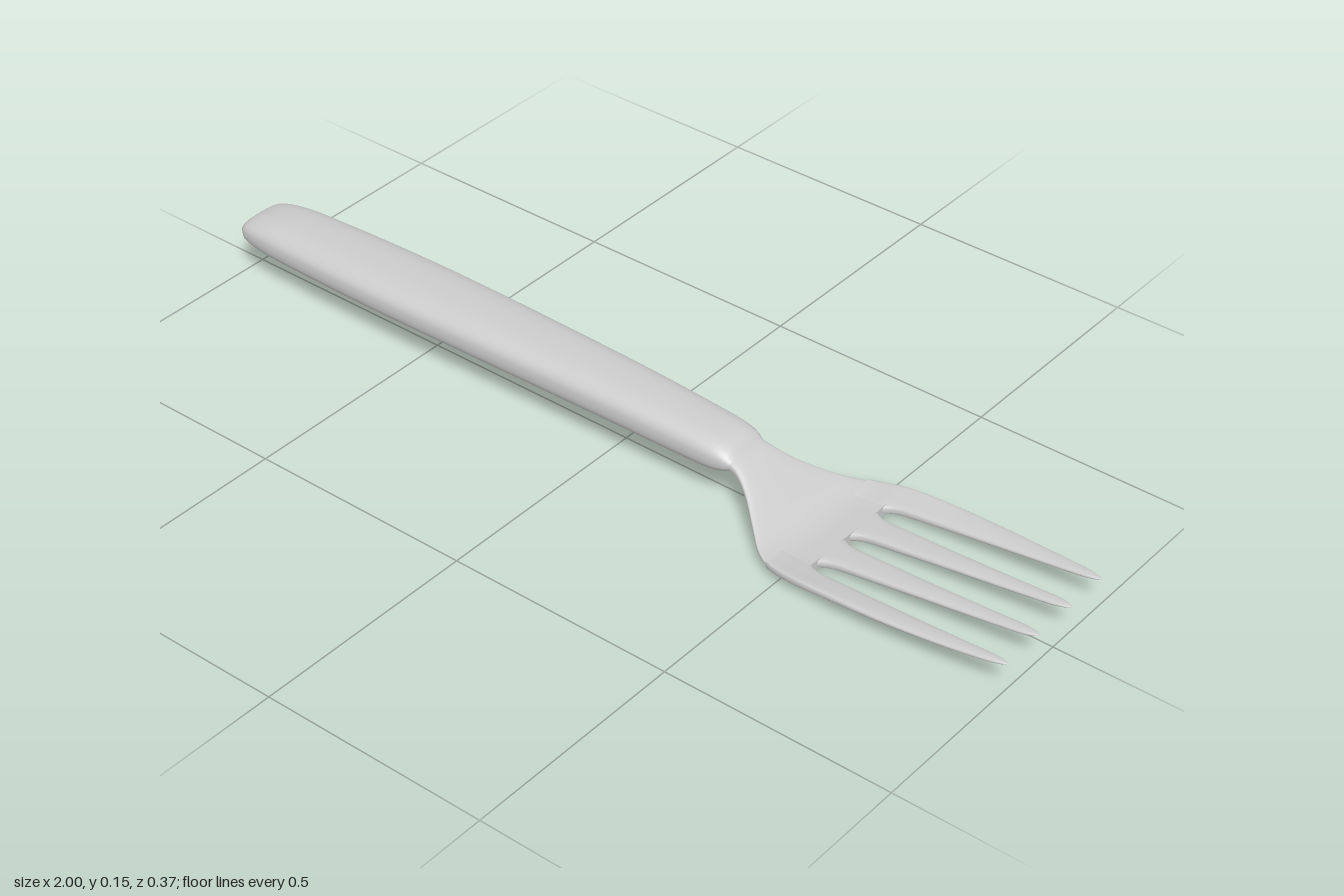
import * as THREE from 'three';

// Smooth interpolation of a table of rows [x, a, b, ...]
function sample(table, x) {
  const last = table.length - 1;
  let i = 0;
  while (i < last - 1 && x > table[i + 1][0]) i++;
  const p = table[i], q = table[i + 1];
  const before = table[Math.max(i - 1, 0)], after = table[Math.min(i + 2, last)];
  const h = q[0] - p[0], t = Math.min(Math.max((x - p[0]) / h, 0), 1);
  return p.slice(1).map((_, n) => {
    const k = n + 1;
    const m0 = (q[k] - before[k]) / (q[0] - before[0]) * h;
    const m1 = (after[k] - p[k]) / (after[0] - p[0]) * h;
    const t2 = t * t, t3 = t2 * t;
    return (2 * t3 - 3 * t2 + 1) * p[k] + (t3 - 2 * t2 + t) * m0
      + (3 * t2 - 2 * t3) * q[k] + (t3 - t2) * m1;
  });
}

// Superellipse sections lofted along x; section(x) gives y, z, half sizes and squareness
function loft(name, x0, x1, steps, sides, section, bend, material) {
  const pos = [], idx = [];
  for (let i = 0; i <= steps; i++) {
    const x = x0 + (x1 - x0) * (1 - Math.cos(Math.PI * i / steps)) / 2;
    const s = section(x);
    for (let j = 0; j < sides; j++) {
      const a = j / sides * Math.PI * 2, c = Math.cos(a), n = Math.sin(a);
      const z = s.z + s.hz * Math.sign(c) * Math.abs(c) ** (2 / s.power);
      const y = s.y + s.hy * Math.sign(n) * Math.abs(n) ** (2 / s.power);
      pos.push(x, y + bend(x, z), z);
    }
  }
  for (let i = 0; i < steps; i++) {
    for (let j = 0; j < sides; j++) {
      const a = i * sides + j, b = i * sides + (j + 1) % sides;
      idx.push(a, a + sides, b, b, a + sides, b + sides);
    }
  }
  // End caps have their own vertices so their rims stay crisp
  for (const [row, x, flip] of [[0, x0, false], [steps, x1, true]]) {
    const s = section(x), base = pos.length / 3;
    for (let j = 0; j < sides; j++) {
      const k = (row * sides + j) * 3;
      pos.push(pos[k], pos[k + 1], pos[k + 2]);
    }
    pos.push(x, s.y + bend(x, s.z), s.z);
    for (let j = 0; j < sides; j++) {
      const a = base + j, b = base + (j + 1) % sides;
      idx.push(base + sides, flip ? b : a, flip ? a : b);
    }
  }
  const geometry = new THREE.BufferGeometry();
  geometry.setAttribute('position', new THREE.Float32BufferAttribute(pos, 3));
  geometry.setIndex(idx);
  geometry.computeVertexNormals();
  const mesh = new THREE.Mesh(geometry, material);
  mesh.name = name;
  return mesh;
}

// Handle: x, bottom, top, half width
const HANDLE = [
  [-1, 0.088, 0.118, 0.052], [-0.985, 0.076, 0.13, 0.063], [-0.95, 0.069, 0.14, 0.071],
  [-0.88, 0.066, 0.147, 0.078], [-0.6, 0.067, 0.153, 0.086], [-0.35, 0.068, 0.155, 0.083],
  [0, 0.067, 0.152, 0.074], [0.18, 0.065, 0.145, 0.068], [0.25, 0.067, 0.139, 0.065],
  [0.28, 0.075, 0.13, 0.06], [0.3, 0.088, 0.114, 0.052],
];
// Head: x, centre height, half thickness, half width
const HEAD = [
  [0.26, 0.107, 0.017, 0.053], [0.31, 0.096, 0.015, 0.056], [0.35, 0.074, 0.014, 0.075],
  [0.4, 0.043, 0.013, 0.115], [0.44, 0.02, 0.012, 0.148], [0.48, 0.012, 0.011, 0.168],
  [0.54, 0.015, 0.011, 0.181], [0.62, 0.023, 0.01, 0.185], [0.75, 0.036, 0.009, 0.184],
  [0.88, 0.049, 0.007, 0.175], [1, 0.062, 0.005, 0.162],
];
const SLOT = 0.535;   // where the slots begin
const PITCH = 0.104;  // spacing of the slots

// Raised rim of the bowl, fading out at neck and tips
const DISH = [[0.26, 0], [0.34, 0.002], [0.44, 0.014], [0.55, 0.016], [0.75, 0.008], [1, 0]];
const dish = (x, z) => sample(DISH, x)[0] * Math.min(Math.abs(z) / 0.18, 1.05) ** 4;

// Half width of a slot: a round root, then a steady flare
function slotHalf(x) {
  if (x <= SLOT) return 0;
  const root = Math.min((x - SLOT) / 0.05, 1);
  return 0.018 * Math.sqrt(root * (2 - root)) + 0.023 * (x - SLOT) / (1 - SLOT);
}

export function createModel() {
  const group = new THREE.Group();
  group.name = 'fork';
  const metal = new THREE.MeshStandardMaterial({ color: 0xcccccc });

  group.add(loft('handle', -1, 0.3, 70, 40, (x) => {
    const [bottom, top, hz] = sample(HANDLE, x);
    return { y: (bottom + top) / 2, z: 0, hy: (top - bottom) / 2, hz, power: 2.6 };
  }, () => 0, metal));

  // Neck widening into the bowl
  group.add(loft('neckAndBowl', 0.26, SLOT + 0.004, 36, 72, (x) => {
    const [y, hy, hz] = sample(HEAD, x);
    return { y, z: 0, hy, hz: hz * 0.998, power: 3 };
  }, dish, metal));

  // Four tines, mirrored in pairs
  for (const side of [1, -1]) {
    for (const outer of [false, true]) {
      group.add(loft(outer ? 'outerTine' : 'innerTine', 0.47, 1, 56, 24, (x) => {
        const [y, hy, rim] = sample(HEAD, x);
        const gap = slotHalf(x);
        const near = (outer ? PITCH : 0) + gap;
        const far = outer ? rim : PITCH - gap;
        const u = Math.max((x - 0.955) / 0.045, 0);
        const tip = Math.sqrt(Math.max(1 - u * u, 0.002));
        return {
          y, z: side * (near + far) / 2, hy: hy * tip, hz: (far - near) / 2 * tip,
          power: THREE.MathUtils.lerp(3.6, 2.2, THREE.MathUtils.smoothstep(x, 0.5, 0.8)),
        };
      }, dish, metal));
    }
  }
  return group;
}
